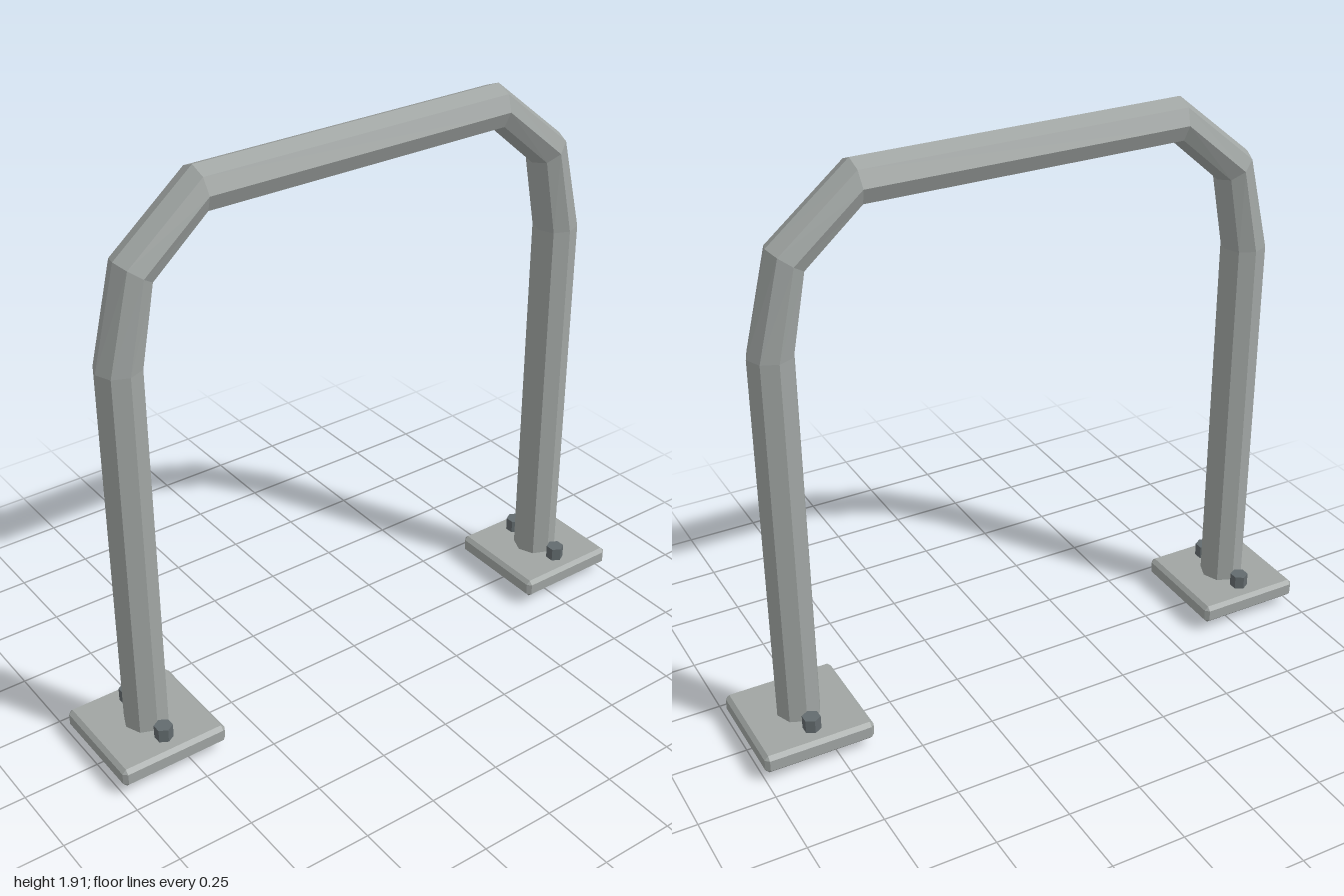
import * as THREE from 'three';
import { ConvexGeometry } from 'three/addons/geometries/ConvexGeometry.js';

const SIDES = 8, RADIUS = 0.073, LEG_Z = 0.816;

// Eight-sided bent pipe: each ring is [z, y, outward z, outward y]
function pipeGeometry() {
  const half = [
    [LEG_Z, 0, RADIUS, 0],
    [LEG_Z, 1.365, RADIUS, 0],
    [0.754, 1.648, 0.054, 0.039],
    [0.536, 1.834, 0.008, 0.0725],
  ];
  const mirrored = half.map(([z, y, oz, oy]) => [-z, y, -oz, oy]).reverse();
  const rings = [...half, ...mirrored];
  const positions = [];
  rings.forEach(([z, y, oz, oy]) => {
    for (let i = 0; i < SIDES; i++) {
      const a = (i / SIDES) * Math.PI * 2, c = Math.cos(a);
      positions.push(RADIUS * Math.sin(a), y + oy * c, z + oz * c);
    }
  });
  const index = [];
  for (let r = 0; r < rings.length - 1; r++) {
    for (let i = 0; i < SIDES; i++) {
      const n = (i + 1) % SIDES;
      const a = r * SIDES + i, b = r * SIDES + n, c = b + SIDES, d = a + SIDES;
      index.push(a, b, c, a, c, d);
    }
  }
  // Closed ends
  const last = (rings.length - 1) * SIDES;
  for (let i = 1; i < SIDES - 1; i++) {
    index.push(0, i + 1, i, last, last + i, last + i + 1);
  }
  const geometry = new THREE.BufferGeometry();
  geometry.setAttribute('position', new THREE.Float32BufferAttribute(positions, 3));
  geometry.setIndex(index);
  const flat = geometry.toNonIndexed();
  flat.computeVertexNormals();
  return flat;
}

// Box with every edge cut off at 45 degrees
function chamferedBox(w, h, d, c) {
  const points = [];
  for (const x of [-1, 1]) for (const y of [-1, 1]) for (const z of [-1, 1]) {
    for (let full = 0; full < 3; full++) {
      points.push(new THREE.Vector3(
        x * (w / 2 - (full === 0 ? 0 : c)),
        y * (h / 2 - (full === 1 ? 0 : c)),
        z * (d / 2 - (full === 2 ? 0 : c))));
    }
  }
  return new ConvexGeometry(points);
}

function flatHexagon(radius, height) {
  const geometry = new THREE.CylinderGeometry(radius, radius, height, 6).toNonIndexed();
  geometry.rotateY(Math.PI / 2);
  geometry.computeVertexNormals();
  return geometry;
}

export function createModel() {
  const model = new THREE.Group();
  model.name = 'bikeStand';
  const steel = new THREE.MeshStandardMaterial({ color: 0xa0a5a3 });
  steel.name = 'galvanised steel';
  const darkSteel = new THREE.MeshStandardMaterial({ color: 0x636b6e });
  darkSteel.name = 'dark bolt steel';

  const add = (name, geometry, material, x, y, z) => {
    const mesh = new THREE.Mesh(geometry, material);
    mesh.name = name;
    mesh.position.set(x, y, z);
    model.add(mesh);
  };

  add('bentPipe', pipeGeometry(), steel, 0, 0, 0);

  // Base plate and two bolts at each foot
  const plate = chamferedBox(0.368, 0.064, 0.368, 0.013);
  const bolt = flatHexagon(0.03, 0.06);
  for (const [end, side] of [['front', 1], ['back', -1]]) {
    add(end + 'BasePlate', plate, steel, 0, 0.065, side * LEG_Z);
    add(end + 'LeftBolt', bolt, darkSteel, 0.11, 0.113, side * LEG_Z);
    add(end + 'RightBolt', bolt, darkSteel, -0.11, 0.113, side * LEG_Z);
  }
  return model;
}
